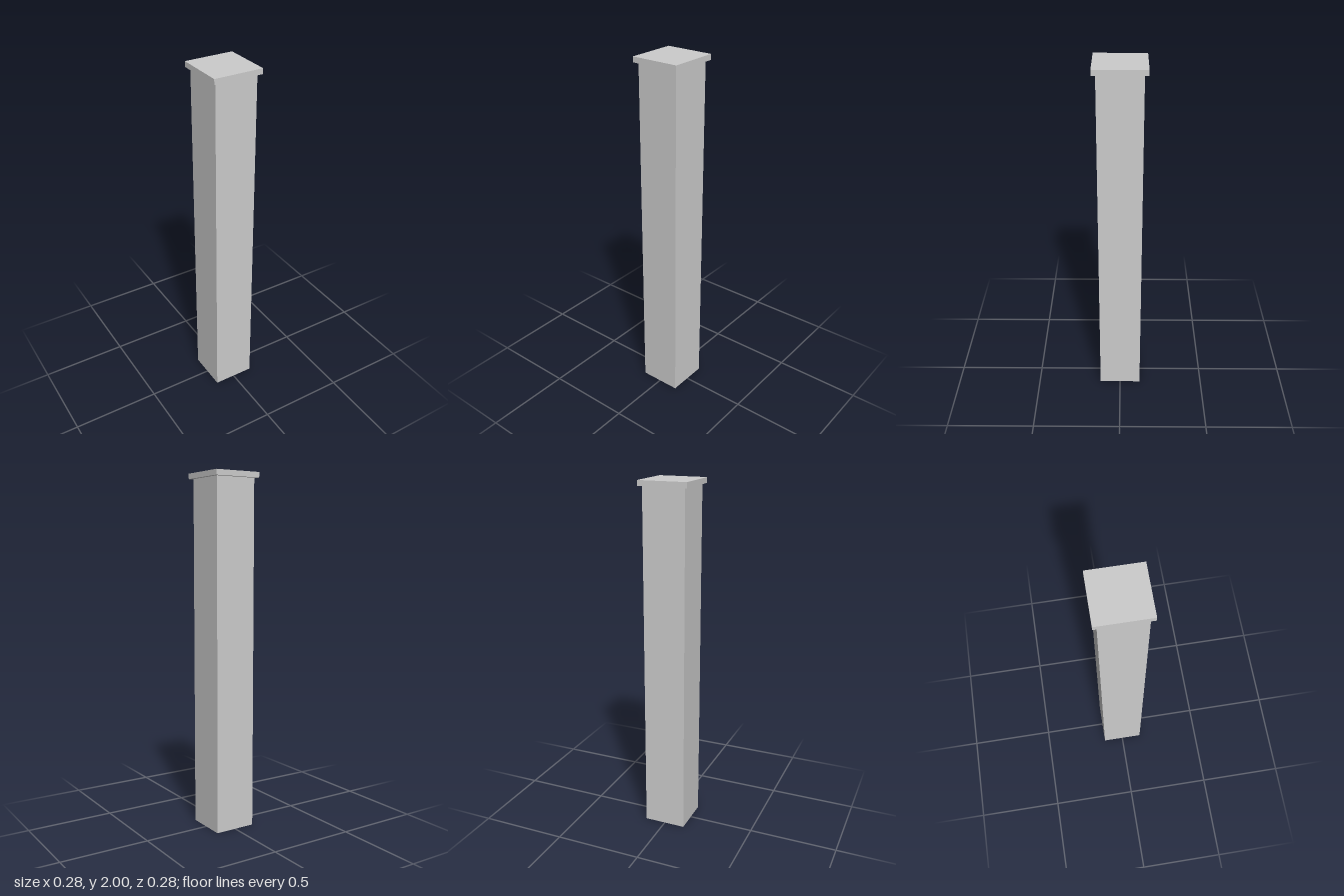
import * as THREE from 'three';

const HEIGHT = 2;
const CAP_HEIGHT = 0.03;

export function createModel() {
  const post = new THREE.Group();
  post.name = 'post';

  // Hollow square shaft, open at the foot
  const shaftHeight = HEIGHT - CAP_HEIGHT;
  const shaftGeometry = new THREE.CylinderGeometry(Math.SQRT1_2, Math.SQRT1_2, shaftHeight, 4, 1, true)
    .rotateY(Math.PI / 4)
    .scale(0.24, 1, 0.242)
    .translate(0, shaftHeight / 2, 0);
  const shaft = new THREE.Mesh(
    shaftGeometry,
    new THREE.MeshStandardMaterial({ color: 0xcccccc, flatShading: true, side: THREE.DoubleSide })
  );
  shaft.name = 'shaft';
  post.add(shaft);

  // Flat overhanging cap
  const cap = new THREE.Mesh(
    new THREE.BoxGeometry(0.276, CAP_HEIGHT, 0.284),
    new THREE.MeshStandardMaterial({ color: 0xcccccc })
  );
  cap.name = 'cap';
  cap.position.y = HEIGHT - CAP_HEIGHT / 2;
  post.add(cap);

  return post;
}
